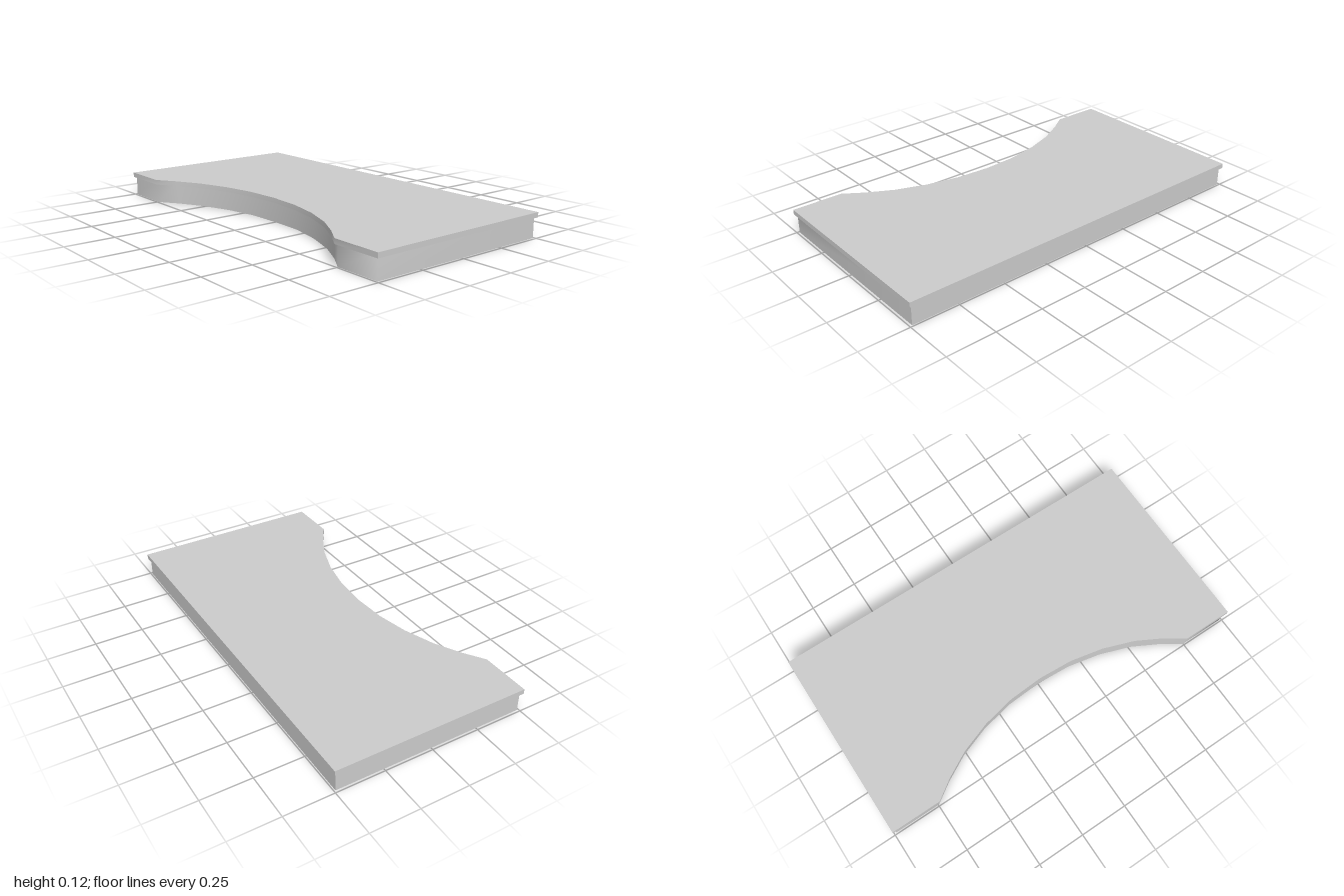
import * as THREE from 'three';

const HALF_WIDTH = 0.505, LIP_BOTTOM = 0.1, TOP = 0.125, OVERHANG = 0.0125;

// Half of the scooped edge, from the corner to the middle: [x, z]
const SCOOP = [[-0.505, 0.74], [-0.438, 0.64], [-0.368, 0.51], [-0.311, 0.35], [-0.276, 0.18]];

// Outline seen from above, counter-clockwise, as (x, -z); the first four points are the corners
function outline(inset) {
  const w = HALF_WIDTH - inset, d = 1 - inset;
  const half = SCOOP.map(([x, z]) => [x + inset, z + inset * z * 0.8]);
  return [
    [-w, -d], [w, -d], [w, d], [-w, d],
    ...half,
    [-0.265 + inset, 0],
    ...half.map(([x, z]) => [x, -z]).reverse(),
  ].map(([x, v]) => new THREE.Vector2(x, v));
}

// Upright strip along a run of outline points, smooth within the run
function wallGeometry(run, bottom, top) {
  const pos = [], index = [];
  run.forEach((p, i) => {
    pos.push(p.x, bottom, -p.y, p.x, top, -p.y);
    const a = 2 * i;
    if (i < run.length - 1) index.push(a, a + 2, a + 3, a, a + 3, a + 1);
  });
  const geometry = new THREE.BufferGeometry();
  geometry.setAttribute('position', new THREE.Float32BufferAttribute(pos, 3));
  geometry.setIndex(index);
  geometry.computeVertexNormals();
  return geometry;
}

// Flat sheet at height y
function sheetGeometry(shape, y) {
  return new THREE.ShapeGeometry(shape).rotateX(-Math.PI / 2).translate(0, y, 0);
}

export function createModel() {
  const group = new THREE.Group();
  group.name = 'scoopedPlatform';
  const grey = new THREE.MeshStandardMaterial({ color: 0xcccccc, side: THREE.DoubleSide });
  grey.name = 'light grey';

  const add = (name, geometry) => {
    const mesh = new THREE.Mesh(geometry, grey);
    mesh.name = name;
    group.add(mesh);
  };

  const outer = outline(0), inner = outline(OVERHANG);

  // Top sheet
  add('topSheet', sheetGeometry(new THREE.Shape(outer), TOP));

  // Narrow underside of the overhanging lip
  const ring = new THREE.Shape(outer);
  ring.holes.push(new THREE.Path(inner));
  add('lipUnderside', sheetGeometry(ring, LIP_BOTTOM));

  // Lip edge: three straight sides and the scooped side
  const [a, b, c, d] = outer;
  for (const run of [[a, b], [b, c], [c, d], [...outer.slice(3), a]]) {
    add('lipEdge', wallGeometry(run, LIP_BOTTOM, TOP));
  }

  // Thin skirt, open below; the scooped side flows softly into the front
  const [e, f, g, h] = inner;
  for (const run of [[f, g], [g, h], [...inner.slice(3), e, f]]) {
    add('skirt', wallGeometry(run, 0, TOP));
  }
  return group;
}
